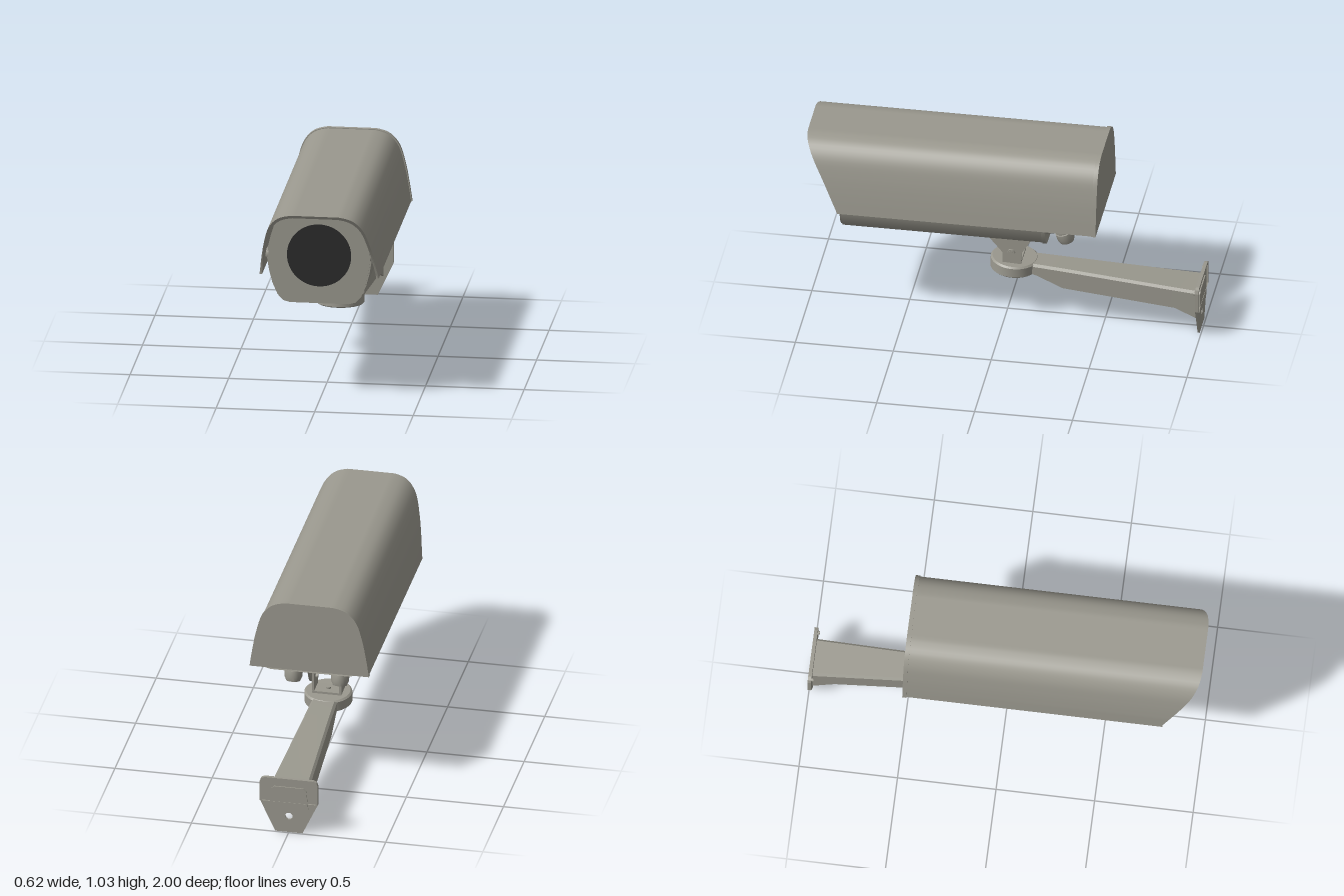
import * as THREE from 'three';
import { toCreasedNormals } from 'three/addons/utils/BufferGeometryUtils.js';

const grey = new THREE.MeshStandardMaterial({ color: 0x9a988e, side: THREE.DoubleSide });
grey.name = 'warm grey metal';
const black = new THREE.MeshStandardMaterial({ color: 0x2b2b2b });
black.name = 'dark glass';

const V = (x, y) => new THREE.Vector2(x, y);
const smooth = (geo, angle = 0.6) => toCreasedNormals(geo, angle);

// Right half of an outline, mirrored across x = 0 into a closed loop
const mirrored = half => [...half.map(([x, y]) => V(x, y)), ...half.slice().reverse().map(([x, y]) => V(-x, y))];

// Prism along z between two depths
function prism(points, z0, z1, holes = []) {
  const shape = new THREE.Shape(points);
  for (const [x, y, r] of holes) shape.holes.push(new THREE.Path().absarc(x, y, r, 0, Math.PI * 2, true));
  const geo = new THREE.ExtrudeGeometry(shape, { depth: z1 - z0, bevelEnabled: false, curveSegments: 12 });
  return geo.translate(0, 0, z0);
}

// Plate cut from a z-y outline, lying across x
function sidePlate(outline, x, thickness) {
  const geo = prism(outline.map(([z, y]) => V(-z, y)), -thickness / 2, thickness / 2);
  return geo.rotateY(Math.PI / 2).translate(x, 0, 0);
}

// Skin over closed cross-sections, each { z, pts }
function loft(sections) {
  const pos = [], idx = [], n = sections[0].pts.length;
  for (const { z, pts } of sections) for (const [x, y] of pts) pos.push(x, y, z);
  for (let s = 0; s < sections.length - 1; s++) {
    for (let i = 0; i < n; i++) {
      const a = s * n + i, b = s * n + (i + 1) % n;
      idx.push(a, b, a + n, b, b + n, a + n);
    }
  }
  const geo = new THREE.BufferGeometry();
  geo.setAttribute('position', new THREE.Float32BufferAttribute(pos, 3));
  geo.setIndex(idx);
  return smooth(geo);
}

export function createModel() {
  const group = new THREE.Group();
  const add = (name, geo, mat = grey, parent = group) => {
    const mesh = new THREE.Mesh(geo, mat);
    mesh.name = name;
    parent.add(mesh);
    return mesh;
  };

  // Sun hood: thin arched shell with a raked front edge
  const arch = new THREE.SplineCurve([
    V(0.303, 0.66), V(0.288, 0.76), V(0.268, 0.86), V(0.24, 0.95),
    V(0.19, 1.008), V(0.12, 1.03), V(0.06, 1.03),
  ]).getPoints(24).map(p => [p.x, Math.min(p.y, 1.03)]);
  const outer = mirrored(arch);
  const inner = outer.map(p => V(p.x * 0.955, 0.66 + (p.y - 0.66) * 0.96)).reverse();
  const hood = prism([...outer, ...inner], -0.49, 0.82);
  const hp = hood.attributes.position;
  for (let i = 0; i < hp.count; i++) {
    if (hp.getZ(i) > 0) hp.setZ(i, 0.82 + 0.18 * THREE.MathUtils.clamp((hp.getY(i) - 0.68) / 0.35, 0, 1));
  }
  add('sunHood', smooth(hood));
  add('hoodRearCap', smooth(prism(outer.map(p => V(p.x * 1.015, p.y + (p.y > 0.8 ? 0.004 : 0))), -0.5, -0.478)));

  // Housing with a rounded eight-sided section
  const section = [
    [0.15, 0.515], [0.185, 0.525], [0.212, 0.555], [0.238, 0.615], [0.255, 0.68], [0.266, 0.75],
    [0.262, 0.80], [0.245, 0.87], [0.225, 0.935], [0.20, 0.98], [0.16, 1.0],
  ];
  const scaled = k => mirrored(section).map(p => V(p.x * k, 0.76 + (p.y - 0.76) * k));
  add('housing', smooth(prism(scaled(1), -0.21, 0.812)));
  add('frontBezel', smooth(prism(scaled(0.975), 0.812, 0.82)));
  add('housingRearLip', smooth(prism(scaled(1.015), -0.23, -0.21)));
  add('frontGlass', new THREE.CylinderGeometry(0.163, 0.163, 0.008, 64).rotateX(Math.PI / 2).translate(0, 0.77, 0.82), black);
  for (const s of [-1, 1]) {
    add('sideLatch', new THREE.SphereGeometry(0.033, 20, 12).scale(0.8, 1, 0.8).translate(s * 0.255, 0.765, 0.79));
  }

  // Sloping underside behind the housing
  const under = (w, low, z) => ({
    z, pts: [[-w, 0.68], [-w, 0.665], [-w * 0.87, low + 0.012], [-w * 0.7, low],
      [w * 0.7, low], [w * 0.87, low + 0.012], [w, 0.665], [w, 0.68]],
  });
  add('rearUnderside', loft([under(0.285, 0.646, -0.488), under(0.27, 0.61, -0.33), under(0.25, 0.585, -0.22)]));

  // Two cable glands
  for (const s of [-1, 1]) {
    const gland = new THREE.Group();
    gland.name = 'cableGland';
    gland.position.set(s * 0.12, 0.61, -0.295);
    gland.rotation.x = 0.28;
    const profile = [[0.05, 0], [0.05, -0.03], [0.043, -0.034], [0.043, -0.05], [0.047, -0.052], [0.045, -0.085],
      [0.035, -0.108], [0.018, -0.112], [0.018, -0.1], [0, -0.1]].map(([x, y]) => V(x, y)).reverse();
    add('glandBody', smooth(new THREE.LatheGeometry(profile, 24)), grey, gland);
    group.add(gland);
  }

  // Tilt bracket: upper yoke on the housing, lower yoke on the arm
  add('upperYokeBase', new THREE.BoxGeometry(0.175, 0.012, 0.32).translate(0, 0.511, -0.03));
  add('upperYokeScrew', new THREE.CylinderGeometry(0.016, 0.016, 0.02, 16).translate(0, 0.5, 0.04));
  const upper = [[0.13, 0.515], [0.12, 0.48], [0.075, 0.46], [0.02, 0.395], [0.005, 0.375],
    [-0.07, 0.375], [-0.09, 0.395], [-0.13, 0.46], [-0.18, 0.505], [-0.19, 0.515]];
  const lower = [[0.015, 0.315], [0.015, 0.43], [0, 0.45], [-0.065, 0.45], [-0.08, 0.43], [-0.08, 0.315]];
  for (const s of [-1, 1]) {
    add('upperYokeSide', sidePlate(upper, s * 0.083, 0.01));
    add('lowerYokeSide', sidePlate(lower, s * 0.07, 0.012));
    add('tiltBolt', new THREE.CylinderGeometry(0.012, 0.012, 0.05, 16).rotateZ(Math.PI / 2).translate(s * 0.078, 0.39, -0.033));
    add('tiltBoltHead', new THREE.CylinderGeometry(0.021, 0.021, 0.012, 6).rotateZ(Math.PI / 2).translate(s * 0.094, 0.39, -0.033));
  }
  add('lowerYokeBase', new THREE.BoxGeometry(0.15, 0.012, 0.095).translate(0, 0.321, -0.033));
  add('pivotBolt', new THREE.CylinderGeometry(0.013, 0.013, 0.075, 16).translate(0, 0.298, -0.033));

  // Round arm head, hollow underneath
  const head = [[0, 0.015], [0.1, 0.015], [0.1, -0.032], [0.116, -0.032], [0.121, -0.027], [0.121, 0.022],
    [0.112, 0.03], [0, 0.03]].map(([x, y]) => V(x, y));
  const armHead = add('armHead', smooth(new THREE.LatheGeometry(head, 48)));
  armHead.position.set(0, 0.288, -0.035);
  armHead.rotation.x = -0.05;

  // Wall arm: channel open at the bottom
  const channel = ([z, w, t, b]) => ({
    z, pts: [[-w, b], [-w, t - 0.012], [-w + 0.012, t], [w - 0.012, t], [w, t - 0.012], [w, b],
      [w - 0.012, b], [w - 0.012, t - 0.014], [-w + 0.012, t - 0.014], [-w + 0.012, b]],
  });
  add('wallArm', loft([
    [-0.12, 0.065, 0.312, 0.26], [-0.16, 0.066, 0.31, 0.25], [-0.29, 0.07, 0.302, 0.192],
    [-0.87, 0.095, 0.264, 0.15], [-0.985, 0.1, 0.257, 0.1],
  ].map(channel)));

  // Wall plate with a raised rim and pad on its back
  const plate = [[0.07, 0.0], [0.15, 0.17], [0.15, 0.275], [0.143, 0.295], [0.125, 0.303]];
  add('wallPlate', prism(mirrored(plate), -0.992, -0.982, [[0, 0.09, 0.019]]));
  const rimShape = new THREE.Shape(mirrored(plate.slice(1)));
  rimShape.holes.push(new THREE.Path(mirrored([[0.138, 0.17], [0.138, 0.275], [0.125, 0.291]])));
  add('wallPlateRim', new THREE.ExtrudeGeometry(rimShape, { depth: 0.009, bevelEnabled: false }).translate(0, 0, -1));
  add('wallPlatePad', prism(mirrored([[0.09, 0.12], [0.1, 0.14], [0.09, 0.24], [0.075, 0.255]]), -0.998, -0.99));
  for (const [x, y] of [[0.127, 0.265], [-0.127, 0.265], [0, 0.035]]) {
    add('plateBolt', new THREE.CylinderGeometry(0.01, 0.01, 0.016, 14).rotateX(Math.PI / 2).translate(x, y, -0.98));
  }
  return group;
}
